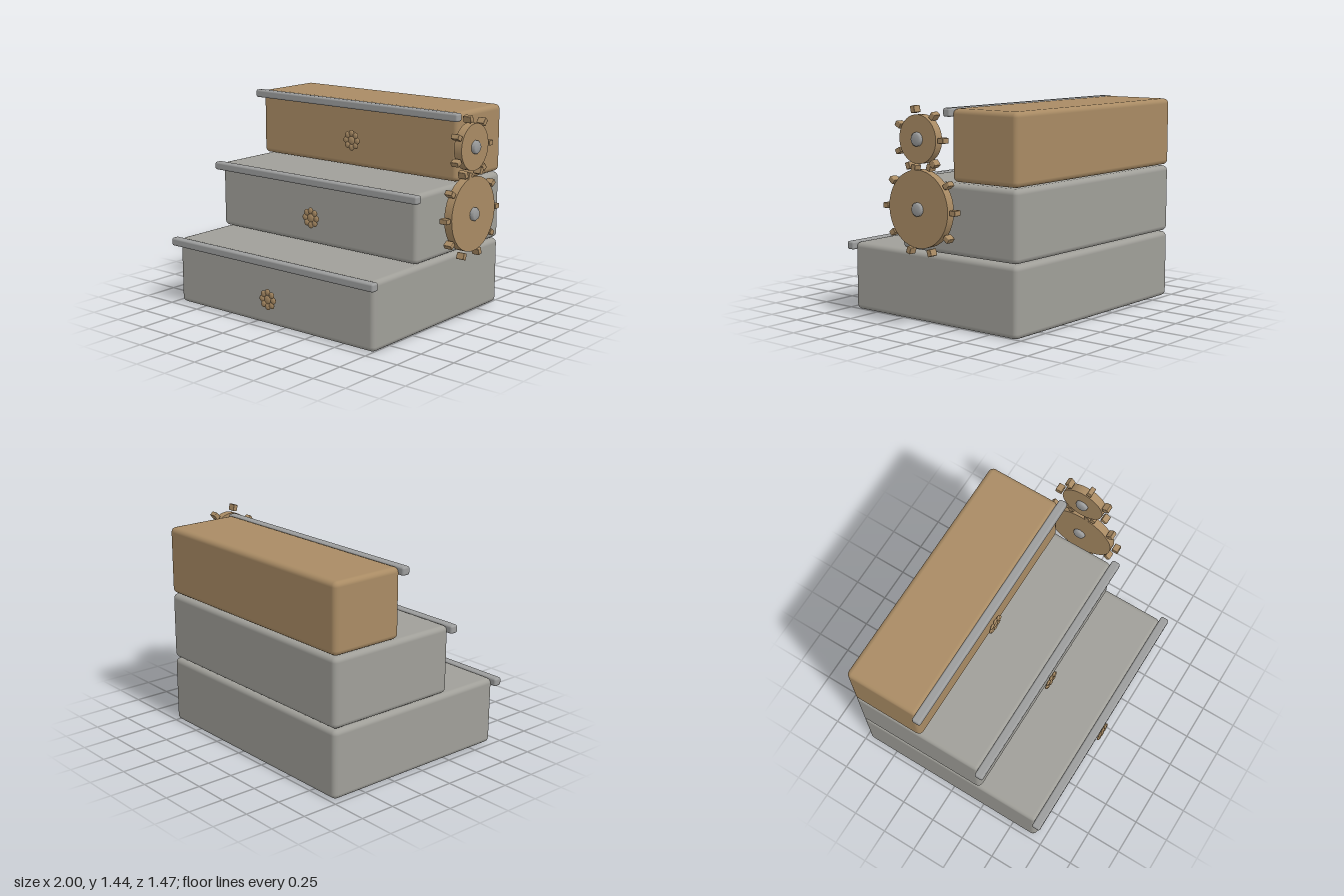
import * as THREE from 'three';
import { RoundedBoxGeometry } from 'three/addons/geometries/RoundedBoxGeometry.js';

const stone = new THREE.MeshStandardMaterial({ name: 'stone grey', color: 0xa09f99 });
const metal = new THREE.MeshStandardMaterial({ name: 'metal grey', color: 0x9c9d9d });
const bronze = new THREE.MeshStandardMaterial({ name: 'bronze', color: 0xa98b64 });

const CX = -0.1; // centre of the staircase
const BACK = -0.73;

function add(parent, name, geometry, material, x = 0, y = 0, z = 0) {
  const mesh = new THREE.Mesh(geometry, material);
  mesh.name = name;
  mesh.position.set(x, y, z);
  parent.add(mesh);
  return mesh;
}

// Flower ornament: a flattened centre bead ringed by eight petals
function makeFlower() {
  const flower = new THREE.Group();
  flower.name = 'flowerOrnament';
  add(flower, 'flowerCentre', new THREE.SphereGeometry(0.03, 12, 8), bronze).scale.z = 0.35;
  for (let i = 0; i < 8; i++) {
    const a = (i * Math.PI) / 4;
    add(flower, 'petal', new THREE.SphereGeometry(0.023, 10, 8), bronze,
      0.05 * Math.cos(a), 0.05 * Math.sin(a), 0).scale.z = 0.45;
  }
  return flower;
}

// Gear facing +x: disc, ring of block teeth and bevelled axle
function makeGear(radius, teeth) {
  const gear = new THREE.Group();
  gear.name = 'gear';
  const disc = new THREE.CylinderGeometry(radius, radius, 0.058, 40).rotateZ(Math.PI / 2);
  add(gear, 'gearDisc', disc, bronze);
  for (let i = 0; i < teeth; i++) {
    const a = (i * 2 * Math.PI) / teeth;
    const r = radius + 0.035;
    const tooth = add(gear, 'gearTooth', new RoundedBoxGeometry(0.058, 0.035, 0.046, 1, 0.005), bronze,
      0, r * Math.sin(a), -r * Math.cos(a));
    tooth.rotation.x = a;
  }
  const profile = [[0, -0.054], [0.034, -0.054], [0.045, -0.042],
    [0.045, 0.042], [0.034, 0.054], [0, 0.054]].map(([x, y]) => new THREE.Vector2(x, y));
  add(gear, 'axle', new THREE.LatheGeometry(profile, 12).rotateZ(Math.PI / 2), metal);
  return gear;
}

export function createModel() {
  const model = new THREE.Group();
  model.name = 'gearedStairs';

  // Three stacked steps, each with a nosing rail and a flower
  [0.685, 0.242, -0.2].forEach((front, i) => {
    const y = i * 0.475;
    const step = new THREE.Group();
    step.name = 'step' + (i + 1);
    const depth = front - BACK;
    add(step, 'stepBlock', new RoundedBoxGeometry(1.735, 0.468, depth, 2, 0.035),
      i === 2 ? bronze : stone, CX, y + 0.237, (front + BACK) / 2);
    add(step, 'nosingRail', new RoundedBoxGeometry(1.795, 0.056, 0.06, 2, 0.014), metal,
      CX - 0.002, y + 0.446, front + 0.02);
    const flower = makeFlower();
    flower.position.set(CX, y + 0.195, front + 0.037);
    step.add(flower);
    model.add(step);
  });

  // Meshing gears beside the staircase
  for (const [radius, teeth, y] of [[0.25, 10, 0.792], [0.155, 7, 1.235]]) {
    const gear = makeGear(radius, teeth);
    gear.position.set(0.945, y, -0.1);
    model.add(gear);
  }
  return model;
}
